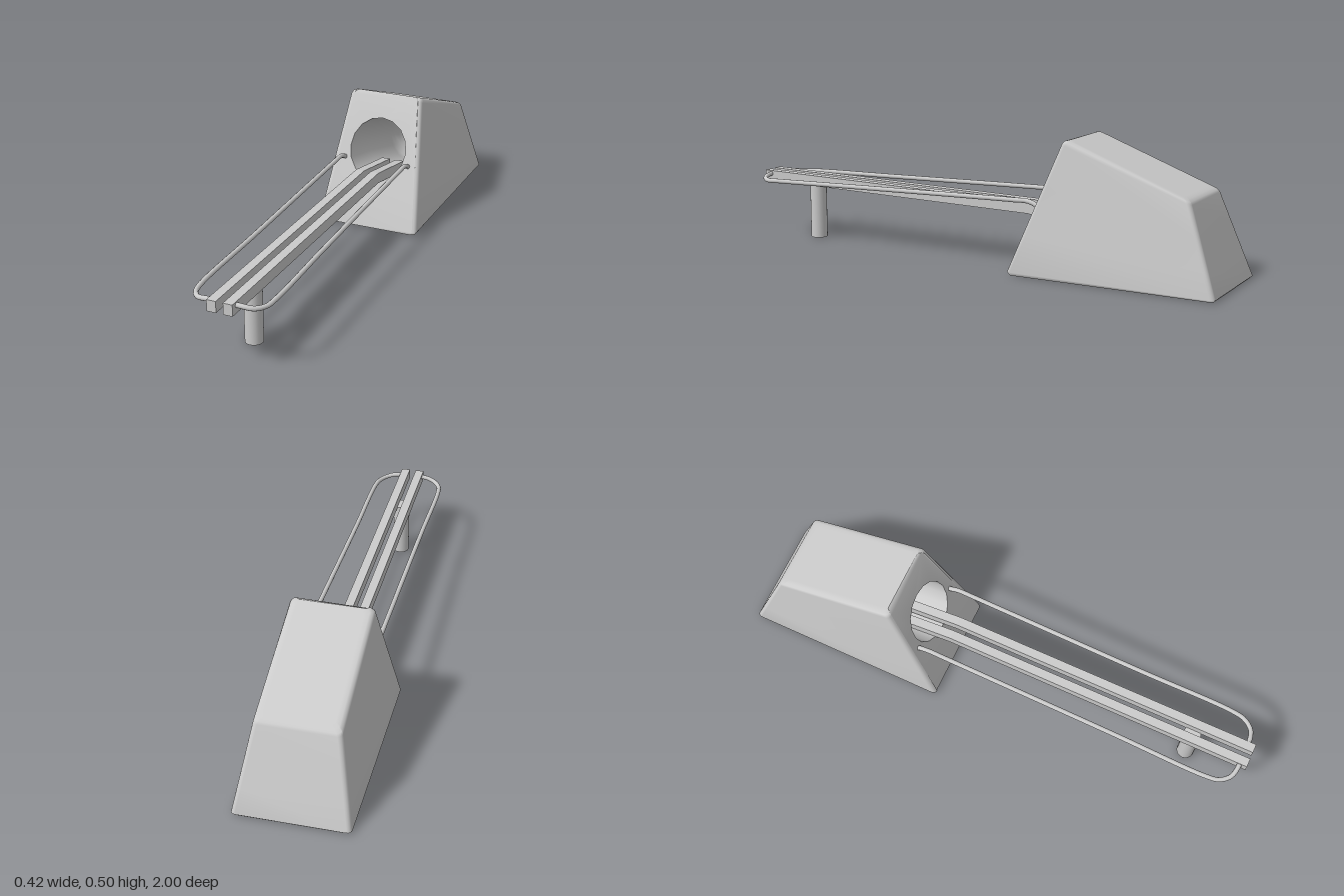
import * as THREE from 'three';

const grey = () => new THREE.MeshStandardMaterial({ color: 0xcccccc, side: THREE.DoubleSide });
const lerp = THREE.MathUtils.lerp;

function part(name, geometry, parent) {
  const mesh = new THREE.Mesh(geometry, grey());
  mesh.name = name;
  parent.add(mesh);
  return mesh;
}

// Surface through equal-length rings of points; keep(i, j) can leave quads out
function loft(rings, keep = () => true) {
  const n = rings[0].length, index = [];
  for (let i = 0; i < rings.length - 1; i++) {
    for (let j = 0; j < n; j++) {
      if (!keep(i, j)) continue;
      const a = i * n + j, b = i * n + (j + 1) % n;
      index.push(a, b, a + n, b, b + n, a + n);
    }
  }
  const geo = new THREE.BufferGeometry();
  geo.setAttribute('position', new THREE.Float32BufferAttribute(rings.flat(2), 3));
  geo.setIndex(index);
  geo.computeVertexNormals();
  return geo;
}

// Housing dimensions
const TOP_FRONT = 0.505, TOP_BACK = 0.325, RADIUS = 0.016;
const HOLE_Y = 0.295, HOLE_R = 0.117, SIDES = 16;
const frontZ = y => -0.2 - 0.2 * y / TOP_FRONT;

// Rounded rectangular section at height fraction s, inset by d
function housingRing(s, d) {
  const hx = lerp(0.21, 0.15, s) - d;
  const zf = lerp(-0.2, -0.4, s), zb = lerp(-1, -0.88, s);
  const hz = (zf - zb) / 2 - d, mid = (zf + zb) / 2;
  const r = Math.min(RADIUS, hx, hz), ring = [];
  for (let c = 0; c < 4; c++) {
    const sx = c < 2 ? 1 : -1, sz = c === 0 || c === 3 ? 1 : -1;
    for (let k = 0; k <= 4; k++) {
      const a = (c + k / 4) * Math.PI / 2;
      const z = mid + sz * (hz - r) + r * Math.cos(a);
      const y = s * lerp(TOP_BACK, TOP_FRONT, (z - zb) / (zf - zb));
      ring.push([sx * (hx - r) + r * Math.sin(a), y, z]);
    }
  }
  return ring;
}

function buildHousing() {
  const group = new THREE.Group();
  group.name = 'housing';

  // Side, back and top walls; the bottom stays open
  const levels = [[0, 0.01], [0.025, 0], [0.3, 0], [0.65, 0], [0.965, 0], [0.988, 0.004], [1, 0.014], [1, 0.03], [1, 0.135]];
  const rings = levels.map(([s, d]) => housingRing(s, d));
  const flat = rings[rings.length - 1];
  const centre = flat.reduce((m, p) => m.map((v, k) => v + p[k] / flat.length), [0, 0, 0]);
  rings.push(flat.map(() => centre));
  const n = flat.length;
  part('housingShell', loft(rings, (i, j) => j < n - 1 || i >= 6), group);

  // Sloping front wall with the round opening
  const edge = rings.slice(0, 7).map(r => r[0]);
  const outline = [
    ...edge.map(p => new THREE.Vector2(p[0], p[1])),
    ...edge.slice().reverse().map(p => new THREE.Vector2(-p[0], p[1])),
  ];
  const shape = new THREE.Shape(outline);
  const hole = [];
  for (let i = 0; i < SIDES; i++) {
    const a = i / SIDES * Math.PI * 2;
    hole.push(new THREE.Vector2(HOLE_R * Math.sin(a), HOLE_Y + HOLE_R * Math.cos(a)));
  }
  shape.holes.push(new THREE.Path(hole));
  const panel = new THREE.ShapeGeometry(shape);
  const pos = panel.attributes.position;
  for (let i = 0; i < pos.count; i++) {
    const y = pos.getY(i);
    const match = edge.find(p => Math.abs(p[1] - y) < 1e-5 && Math.abs(p[0] - Math.abs(pos.getX(i))) < 1e-5);
    pos.setZ(i, match ? match[2] : frontZ(y));
  }
  panel.computeVertexNormals();
  part('frontWall', panel, group);

  // Tunnel running back and slightly down to a rounded end
  const section = (y, z, r) => hole.map(p => [p.x * r / HOLE_R, y + (p.y - HOLE_Y) * r / HOLE_R, z]);
  const tunnel = [hole.map(p => [p.x, p.y, frontZ(p.y)])];
  tunnel.push(section(0.25, -0.5, HOLE_R));
  for (let k = 0; k <= 6; k++) {
    const a = k / 6 * Math.PI / 2;
    tunnel.push(section(0.18 - 0.03 * Math.sin(a), -0.75 - 0.11 * Math.sin(a), HOLE_R * Math.cos(a)));
  }
  part('tunnel', loft(tunnel), group);
  return group;
}

export function createModel() {
  const model = new THREE.Group();
  model.name = 'ballRamp';
  model.add(buildHousing());

  // Twin rails, extruded from a bent side profile (shape x becomes z)
  const profile = [[1, 0.262], [-0.21, 0.242], [-0.48, 0.19], [-0.48, 0.148], [-0.21, 0.2], [1, 0.22]];
  const railGeo = new THREE.ExtrudeGeometry(
    new THREE.Shape(profile.map(([z, y]) => new THREE.Vector2(z, y))),
    { depth: 0.034, bevelEnabled: false });
  railGeo.rotateY(-Math.PI / 2);

  for (const side of [1, -1]) {
    const label = side > 0 ? 'left' : 'right';
    const rail = part(label + 'Rail', railGeo, model);
    rail.position.x = side * 0.03 + 0.017;

    // Guard wire: hooked into the housing, curving in to the rail tip
    const path = new THREE.CatmullRomCurve3([
      [0.165, 0.236, -0.335], [0.137, 0.245, -0.31], [0.135, 0.266, -0.26], [0.135, 0.266, -0.2],
      [0.135, 0.262, 0], [0.135, 0.25, 0.5], [0.137, 0.241, 0.87], [0.128, 0.238, 0.925],
      [0.1, 0.241, 0.96], [0.07, 0.247, 0.97], [0.03, 0.25, 0.972],
    ].map(([x, y, z]) => new THREE.Vector3(side * x, y, z)), false, 'centripetal');
    part(label + 'GuardWire', new THREE.TubeGeometry(path, 90, 0.009, 10, false), model);
  }

  // Support post under the far end
  const post = part('supportPost', new THREE.CylinderGeometry(0.033, 0.033, 0.222, 20), model);
  post.position.set(0, 0.111, 0.77);
  return model;
}
